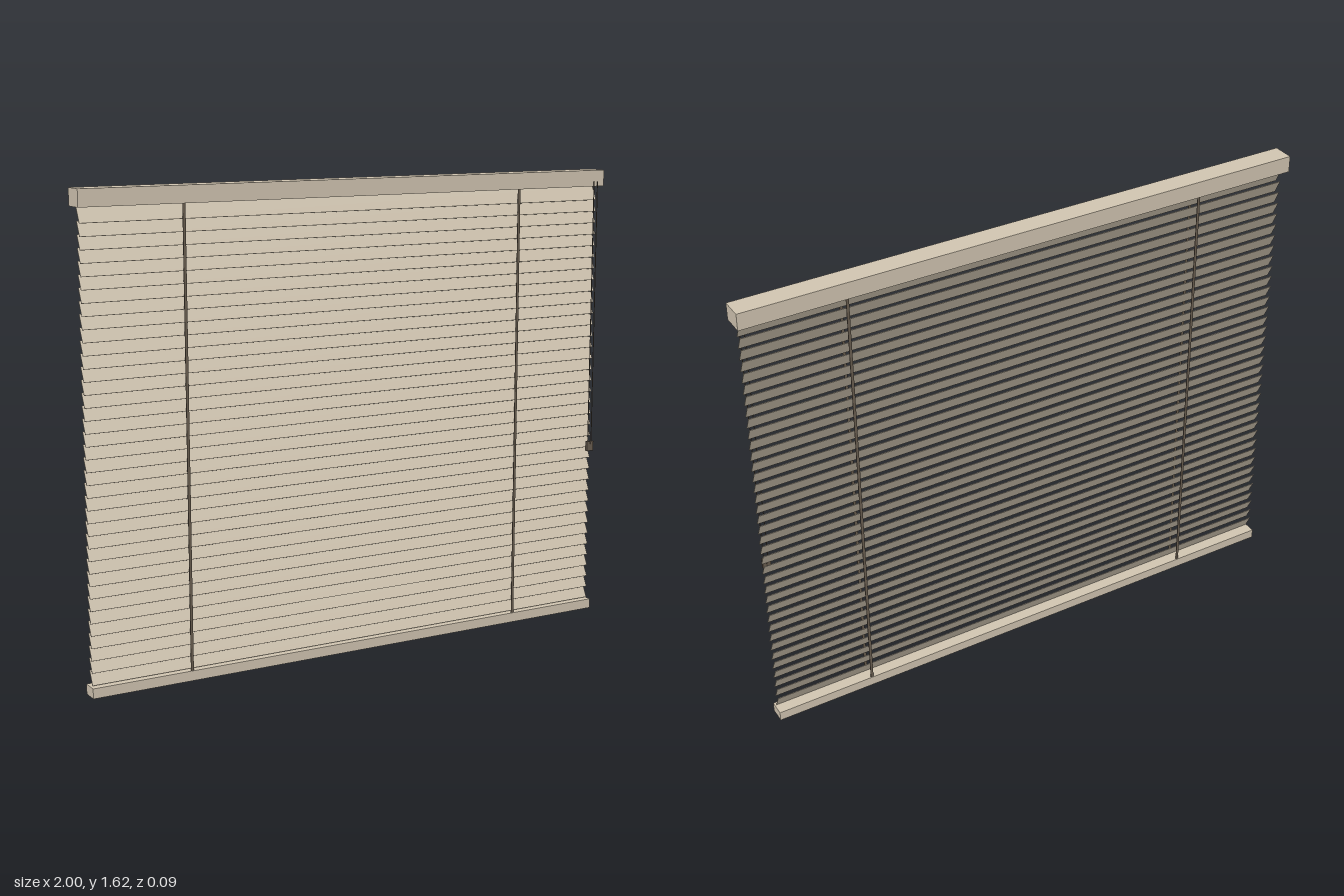
import * as THREE from 'three';

const Z = -0.0075; // centre plane of the blind

export function createModel() {
  const model = new THREE.Group();
  model.name = 'windowBlind';

  const wood = new THREE.MeshStandardMaterial({ color: 0xd2c6b2 });
  wood.name = 'beige wood';
  const dark = new THREE.MeshStandardMaterial({ color: 0x6a5e50 });
  dark.name = 'brown cord';

  const add = (name, geometry, material, x, y, z, parent = model) => {
    const mesh = new THREE.Mesh(geometry, material);
    mesh.name = name;
    mesh.position.set(x, y, z);
    parent.add(mesh);
    return mesh;
  };

  // Rails at top and bottom
  add('headRail', new THREE.BoxGeometry(2, 0.057, 0.075), wood, 0, 1.5965, Z);
  add('bottomRail', new THREE.BoxGeometry(1.984, 0.034, 0.056), wood, 0, 0.017, Z);

  // Nearly closed slats, upper edge leaning to the back
  const slats = new THREE.Group();
  slats.name = 'slats';
  model.add(slats);
  const slatGeometry = new THREE.BoxGeometry(1.974, 0.052, 0.002);
  for (let i = 0; i < 37; i++) {
    const slat = add('slat', slatGeometry, wood, 0, 0.0615 + i * 0.0411, Z, slats);
    slat.rotation.x = -0.45;
  }

  // Ladder tapes in front of and behind the slats
  const tapeGeometry = new THREE.BoxGeometry(0.01, 1.54, 0.002);
  for (const x of [-0.641, 0.641]) {
    for (const side of [-1, 1]) {
      add(side > 0 ? 'frontLadderTape' : 'backLadderTape', tapeGeometry, dark, x, 0.8, Z + side * 0.0245);
    }
  }

  // Pair of pull cords with tassels
  const cordGeometry = new THREE.CylinderGeometry(0.0016, 0.0016, 0.945, 8);
  const tasselGeometry = new THREE.BoxGeometry(0.0135, 0.035, 0.01);
  for (const x of [0.949, 0.964]) {
    add('pullCord', cordGeometry, dark, x, 1.1125, 0.0405);
    add('tassel', tasselGeometry, dark, x, 0.6255, 0.0405);
  }

  return model;
}
